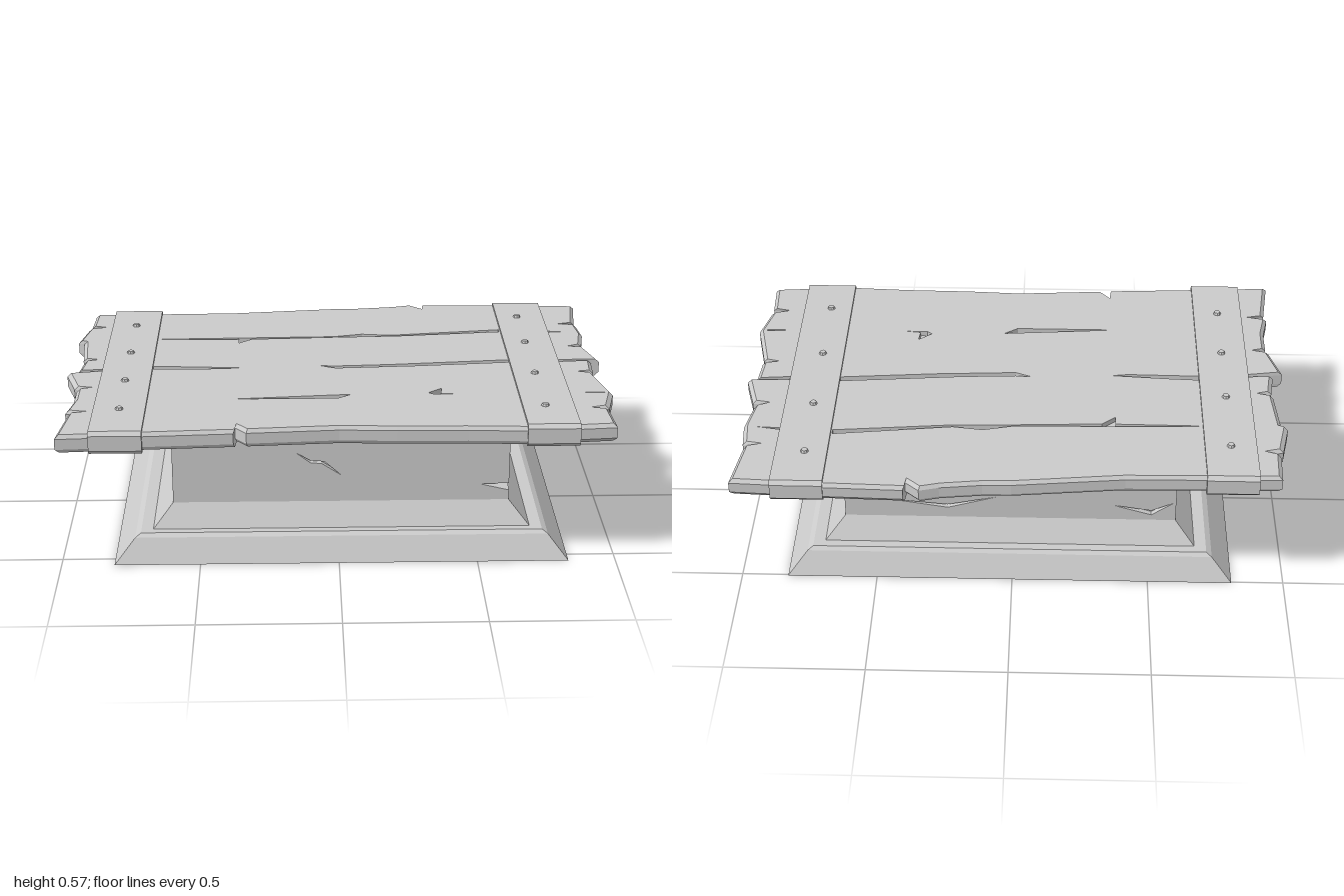
import * as THREE from 'three';
import { mergeGeometries } from 'three/addons/utils/BufferGeometryUtils.js';

const material = new THREE.MeshStandardMaterial({ color: 0xcccccc, flatShading: true, side: THREE.DoubleSide });

const toShape = pts => new THREE.Shape(pts.map(([x, y]) => new THREE.Vector2(x, y)));

// Geometry from a list of [x, y, z] triangle corners
function fromCorners(corners) {
  const g = new THREE.BufferGeometry();
  g.setAttribute('position', new THREE.Float32BufferAttribute(corners.flat(), 3));
  g.computeVertexNormals();
  return g;
}

// Walls joining closed rings, from the lowest to the highest
function loft(rings) {
  const out = [];
  for (let r = 0; r + 1 < rings.length; r++) {
    const a = rings[r], b = rings[r + 1];
    a.forEach((p, i) => {
      const j = (i + 1) % a.length;
      out.push(a[j], p, b[i], a[j], b[i], b[j]);
    });
  }
  return fromCorners(out);
}

function flatFace(shape, z = 0) {
  const g = new THREE.ShapeGeometry(shape).toNonIndexed();
  g.deleteAttribute('uv');
  return g.translate(0, 0, z);
}

// A flat face in XY with sunken cracks
function carvedFace(outline, cracks, depth) {
  const face = toShape(outline);
  const parts = [];
  for (const crack of cracks) {
    const v = crack.map(([x, y]) => new THREE.Vector2(x, y));
    const rim = THREE.ShapeUtils.isClockWise(v) ? [...crack].reverse() : crack;
    face.holes.push(toShape(rim));
    parts.push(loft([-depth, 0].map(z => rim.map(([x, y]) => [x, y, z]))));
    parts.push(flatFace(toShape(rim), -depth));
  }
  parts.push(flatFace(face));
  return mergeGeometries(parts);
}

function addMesh(group, name, geometry) {
  const mesh = new THREE.Mesh(geometry, material);
  mesh.name = name;
  group.add(mesh);
  return mesh;
}

// Ragged plank outline as [x, z], running back, right, front, left
const OUTLINE = [
  [-0.95, -0.58], [-0.4, -0.59], [0, -0.632], [0.1, -0.634], [0.25, -0.652], [0.32, -0.67],
  [0.37, -0.625], [0.375, -0.67], [0.65, -0.662], [0.985, -0.645],
  [0.96, -0.45], [0.907, -0.435], [0.965, -0.425], [0.975, -0.32], [0.955, -0.2],
  [0.91, -0.18], [0.963, -0.17], [1, -0.037], [0.85, -0.033], [0.85, -0.012], [0.967, -0.022],
  [0.96, 0.08], [0.908, 0.09], [0.957, 0.103], [1, 0.3], [0.968, 0.43], [0.912, 0.447],
  [0.965, 0.46], [0.972, 0.598],
  [0.7, 0.622], [0.45, 0.61], [0.2, 0.606], [0, 0.596], [-0.325, 0.618], [-0.365, 0.57],
  [-0.37, 0.622], [-0.7, 0.64], [-0.985, 0.657],
  [-0.96, 0.458], [-0.908, 0.445], [-0.97, 0.432], [-0.95, 0.33], [-0.95, 0.225], [-0.908, 0.213],
  [-0.96, 0.2], [-1, 0.066], [-0.87, 0.045], [-0.87, 0.03], [-0.963, 0.037],
  [-0.95, -0.062], [-0.908, -0.075], [-0.955, -0.088], [-0.97, -0.275], [-0.992, -0.285],
  [-0.965, -0.42], [-0.91, -0.435], [-0.955, -0.45]
];

// Splits and seams in the top as [x, z]
const TOP_CRACKS = [
  [[-0.67, -0.289], [0, -0.302], [0.11, -0.327], [0.22, -0.312], [0.65, -0.365], [0.65, -0.342],
    [0.25, -0.304], [0, -0.295], [-0.32, -0.281], [-0.37, -0.238], [-0.37, -0.281], [-0.67, -0.284]],
  [[0.82, -0.348], [0.93, -0.33], [0.82, -0.336]],
  [[-0.69, 0.005], [-0.58, 0.01], [-0.36, 0.025], [-0.42, 0.034], [-0.69, 0.03]],
  [[-0.06, 0.01], [0, 0.015], [0.2, 0.005], [0.66, -0.035], [0.66, -0.01], [0.3, 0.02], [0, 0.036]],
  [[-0.38, 0.335], [-0.1, 0.312], [0.05, 0.3], [0, 0.335]],
  [[0.33, 0.29], [0.38, 0.25], [0.375, 0.298], [0.43, 0.305], [0.35, 0.305]],
  [[0.9, 0.297], [0.97, 0.297], [0.97, 0.303], [0.9, 0.303]]
];

function createTabletop() {
  const group = new THREE.Group();
  group.name = 'tabletop';
  const inset = 0.985;
  const ring = (y, s) => OUTLINE.map(([x, z]) => [x * s, y, z * s]);
  const rim = OUTLINE.map(([x, z]) => [x * inset, z * inset]);
  const flipZ = pts => pts.map(([x, z]) => [x, -z]);

  addMesh(group, 'plankEdges', loft([ring(0.488, inset), ring(0.502, 1), ring(0.541, 1), ring(0.555, inset)]));
  addMesh(group, 'plankTop', carvedFace(flipZ(rim), TOP_CRACKS.map(flipZ), 0.02)
    .rotateX(-Math.PI / 2).translate(0, 0.555, 0));

  // Plank seams on the underside
  const seams = [-0.3, 0.02, 0.33].map(z => [[-0.85, z], [0.82, z - 0.006], [0.82, z + 0.006], [-0.85, z + 0.01]]);
  addMesh(group, 'plankUnderside', carvedFace(rim, seams, 0.01)
    .rotateX(Math.PI / 2).translate(0, 0.488, 0));
  return group;
}

// Chamfered strap wrapped around the planks, with four nails
function createStrap(name, x0, x1, zBack, zFront, nailX, nailZs) {
  const group = new THREE.Group();
  group.name = name;
  const c = 0.014, y0 = 0.481, y1 = 0.565, a = -zFront, b = -zBack;
  const profile = toShape([[a + c, y0], [b - c, y0], [b, y0 + c], [b, y1 - c],
    [b - c, y1], [a + c, y1], [a, y1 - c], [a, y0 + c]]);
  const strap = new THREE.ExtrudeGeometry(profile, { depth: x1 - x0, bevelEnabled: false });
  addMesh(group, 'strap', strap.rotateY(Math.PI / 2).translate(x0, 0, 0));
  for (const z of nailZs) {
    addMesh(group, 'nail', new THREE.CylinderGeometry(0.011, 0.016, 0.012, 8)).position.set(nailX, 0.568, z);
  }
  return group;
}

function createPedestal() {
  const group = new THREE.Group();
  group.name = 'pedestal';

  // Stepped skirt: [y, xMin, xMax, zMin, zMax]
  const levels = [
    [0, -0.81, 0.83, -0.505, 0.55],
    [0.088, -0.735, 0.757, -0.463, 0.507],
    [0.1, -0.715, 0.737, -0.45, 0.492],
    [0.1, -0.672, 0.694, -0.417, 0.463],
    [0.185, -0.6, 0.62, -0.37, 0.417]
  ];
  addMesh(group, 'skirt', loft(levels.map(([y, x0, x1, z0, z1]) =>
    [[x0, y, z0], [x1, y, z0], [x1, y, z1], [x0, y, z1]])));
  const base = new THREE.PlaneGeometry(1.64, 1.055).rotateX(Math.PI / 2);
  addMesh(group, 'baseUnderside', base.translate(0.01, 0, 0.0225));

  // Column faces, with cracks and a chipped front corner
  const [y0, x0, x1, z0, z1] = levels[4], y1 = 0.495;
  const front = [[x0, y0], [x1, y0], [x1, 0.222], [0.515, 0.247], [x1, 0.25], [x1, y1], [x0, y1]];
  const frontCrack = [[-0.155, 0.378], [-0.1, 0.337], [-0.06, 0.334], [0.01, 0.288], [-0.05, 0.342], [-0.1, 0.346]];
  addMesh(group, 'columnFront', carvedFace(front, [frontCrack], 0.02).translate(0, 0, z1));

  const back = [[-x1, y0], [-x0, y0], [-x0, y1], [-x1, y1]];
  const backCracks = [
    [[-0.45, 0.262], [-0.24, 0.228], [-0.06, 0.28], [-0.24, 0.242]],
    [[0.37, 0.25], [0.51, 0.208], [0.592, 0.265], [0.51, 0.228]]
  ];
  addMesh(group, 'columnBack', carvedFace(back, backCracks, 0.02).rotateY(Math.PI).translate(0, 0, z0));

  const side = [[-z1, y0], [-z0, y0], [-z0, y1], [-z1, y1], [-z1, 0.25], [-0.32, 0.25], [-z1, 0.222]];
  addMesh(group, 'columnLeft', carvedFace(side, [], 0).rotateY(Math.PI / 2).translate(x1, 0, 0));
  const plain = [[z0, y0], [z1, y0], [z1, y1], [z0, y1]];
  addMesh(group, 'columnRight', carvedFace(plain, [], 0).rotateY(-Math.PI / 2).translate(x0, 0, 0));

  const a = [0.515, 0.247, z1], b = [x1, 0.25, 0.32];
  addMesh(group, 'cornerChip', fromCorners([a, [x1, 0.222, z1], b, a, b, [x1, 0.25, z1]]));
  return group;
}

export function createModel() {
  const model = new THREE.Group();
  model.name = 'plankTable';
  model.add(
    createPedestal(),
    createTabletop(),
    createStrap('rightStrap', -0.87, -0.685, -0.602, 0.658, -0.777, [-0.415, -0.115, 0.172, 0.445]),
    createStrap('leftStrap', 0.655, 0.84, -0.667, 0.627, 0.735, [-0.485, -0.195, 0.13, 0.445])
  );
  return model;
}
